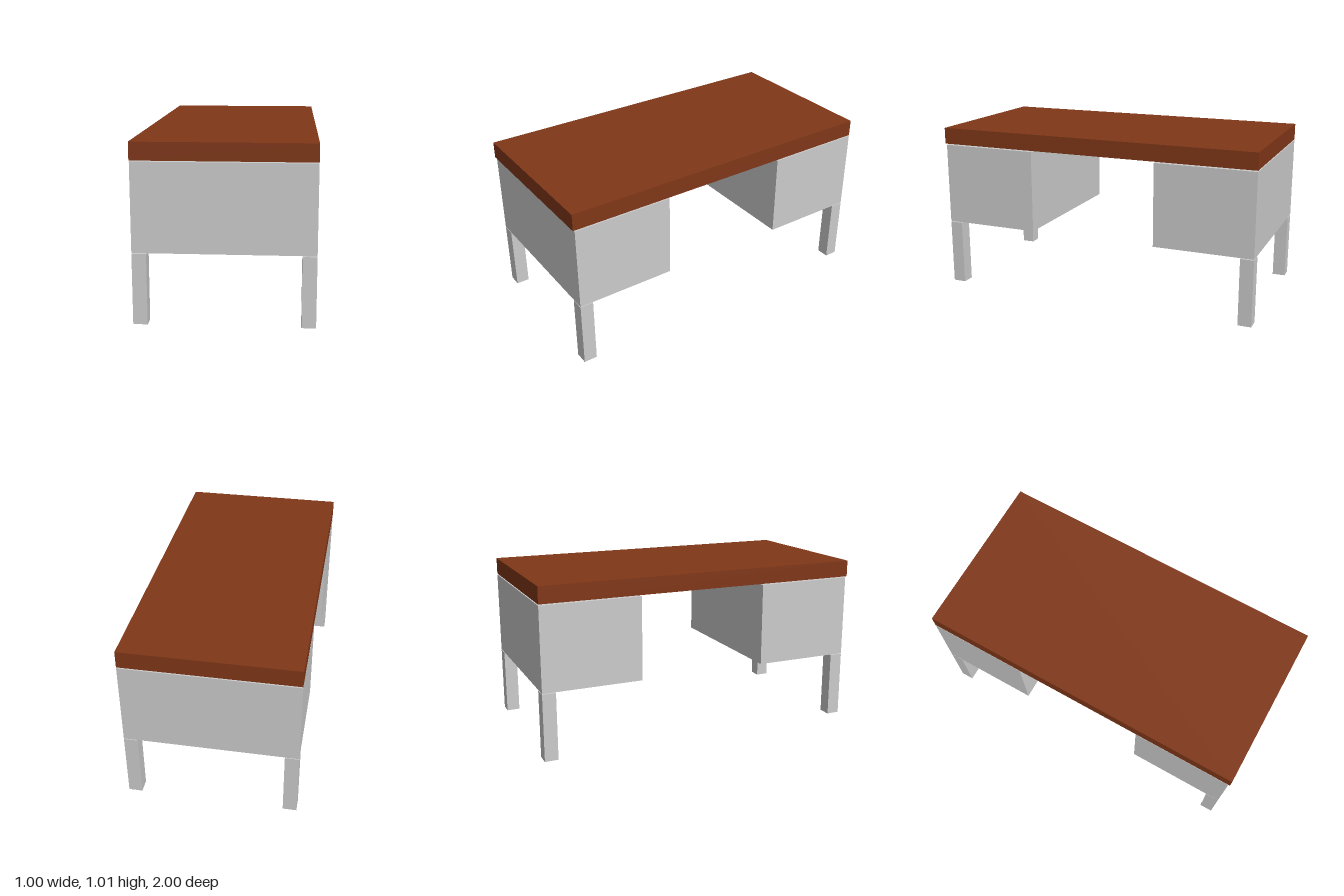
import * as THREE from 'three';

const grey = new THREE.MeshStandardMaterial({ color: 0xcccccc });
const wood = new THREE.MeshStandardMaterial({ color: 0x803718 });

// Box given by its extents along each axis
function box(name, material, [x0, x1], [y0, y1], [z0, z1]) {
  const mesh = new THREE.Mesh(new THREE.BoxGeometry(x1 - x0, y1 - y0, z1 - z0), material);
  mesh.position.set((x0 + x1) / 2, (y0 + y1) / 2, (z0 + z1) / 2);
  mesh.name = name;
  return mesh;
}

export function createModel() {
  const desk = new THREE.Group();
  desk.name = 'desk';

  desk.add(box('desktop', wood, [-0.5, 0.5], [0.911, 1.011], [-1, 1]));

  // One drawer pedestal with two outer legs at each end
  const ends = [
    { name: 'front', pedestal: [0.39, 0.99], leg: [0.91, 0.99] },
    { name: 'back', pedestal: [-1, -0.4], leg: [-1, -0.92] },
  ];
  for (const { name, pedestal, leg } of ends) {
    desk.add(box(name + 'Pedestal', grey, [-0.5, 0.5], [0.405, 0.904], pedestal));
    desk.add(box(name + 'LeftLeg', grey, [0.42, 0.5], [0, 0.4], leg));
    desk.add(box(name + 'RightLeg', grey, [-0.5, -0.42], [0, 0.4], leg));
  }
  return desk;
}
